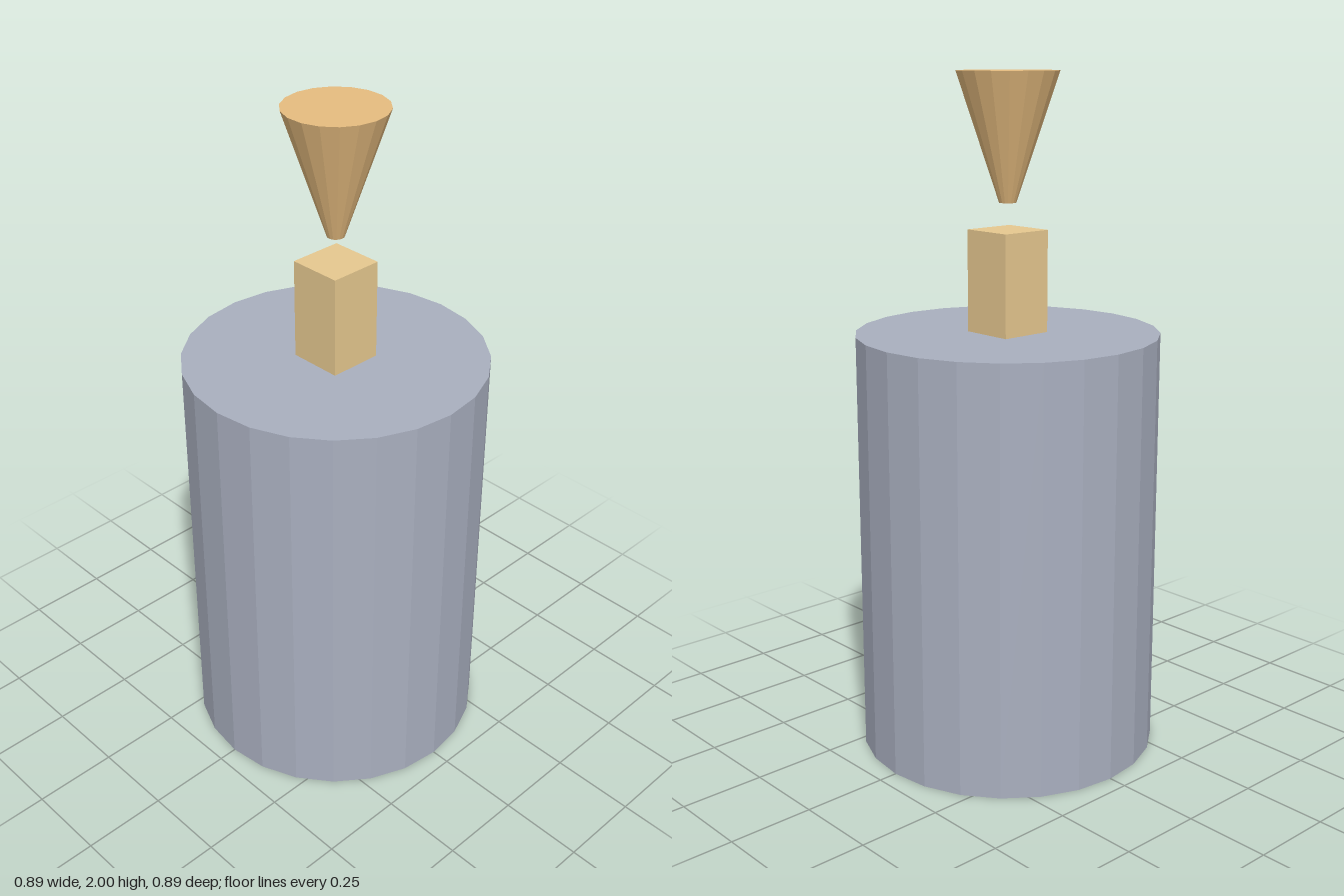
import * as THREE from 'three';

export function createModel() {
  const group = new THREE.Group();

  // Adds a flat-shaded part whose base rests at the given height
  const addPart = (name, geometry, color, base, height) => {
    const material = new THREE.MeshStandardMaterial({ color, flatShading: true });
    const mesh = new THREE.Mesh(geometry, material);
    mesh.name = name;
    mesh.position.y = base + height / 2;
    group.add(mesh);
  };

  // Large 24-sided drum
  addPart('body', new THREE.CylinderGeometry(0.444, 0.444, 1.259, 24), 0xa9afbf, 0, 1.259);

  // Square post standing on the drum
  addPart('post', new THREE.BoxGeometry(0.163, 0.297, 0.163), 0xe6c88f, 1.259, 0.297);

  // Floating inverted cone with a blunt tip
  addPart('cone', new THREE.CylinderGeometry(0.148, 0.025, 0.367, 18), 0xe6bc7f, 1.633, 0.367);

  return group;
}
